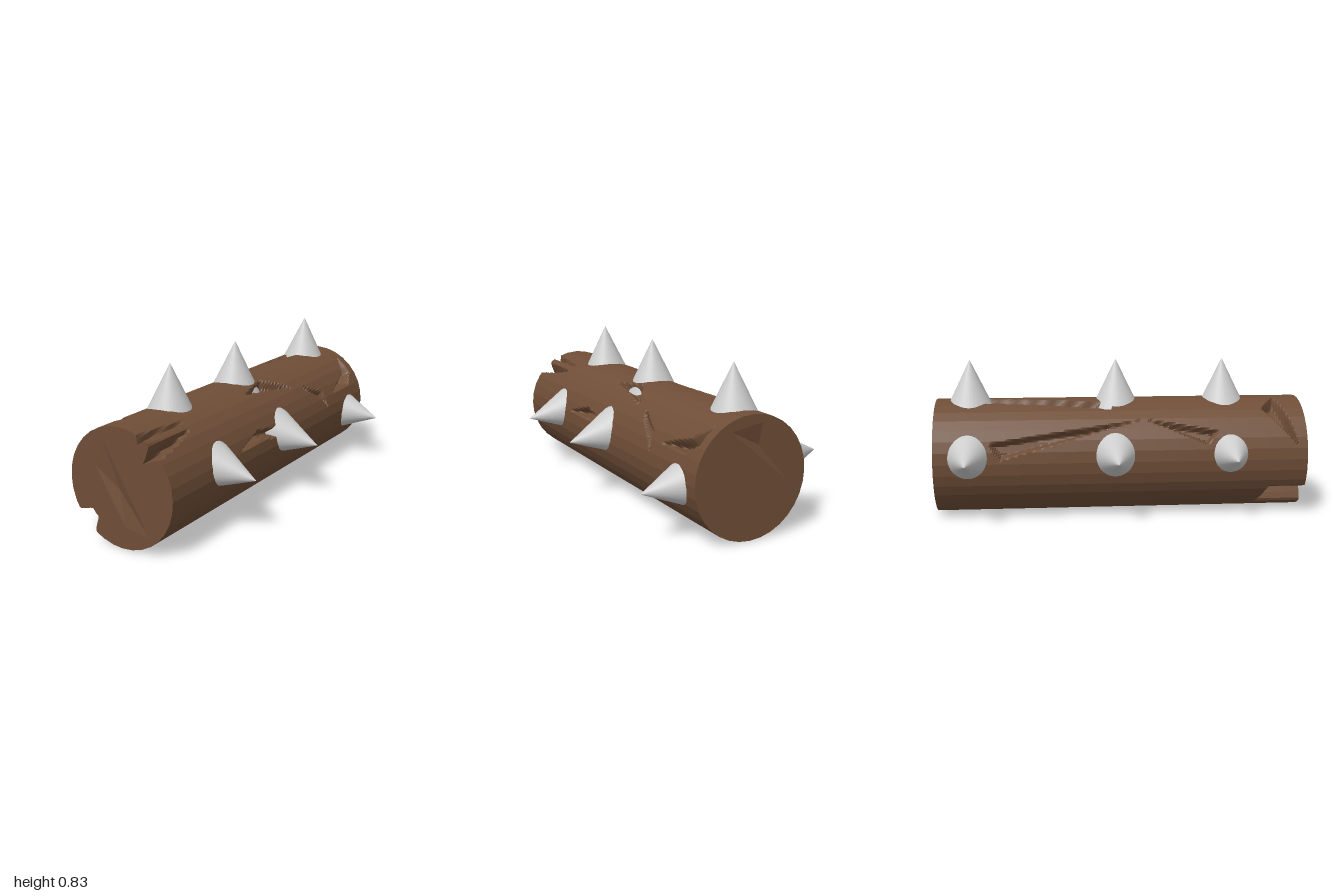
import * as THREE from 'three';

const R = 0.307, CX = 0.006, CY = 0.307, Z0 = -0.987, Z1 = 1;
const SIDES = 32, COLS = 160, ROWS = 220;

// Gouges in the bark: corners as [angle in degrees from +x, z], and how deep they go
const gouges = [
  { depth: 0.05, pts: [[11, 0.45], [24, 0.22], [17, 0], [0, -0.16], [4, -0.1], [13, 0.2]] },
  { depth: 0.05, pts: [[46, -0.36], [30, -0.53], [11, -0.55], [23, -0.5], [41, -0.37]] },
  { depth: 0.06, pts: [[23, -0.62], [39, -0.85], [59, -0.93], [36, -0.93], [24, -0.85]] },
  { depth: 0.05, pts: [[63, 0.12], [73, -0.1], [48, -0.27], [56, -0.1]] },
  { depth: 0.11, pts: [[53, 0.68], [56, 1.3], [28, 1.3], [45, 0.82]] },
  { depth: 0.04, pts: [[62, 0.62], [75, 1.3], [60, 1.3]] },
  { depth: 0.03, pts: [[106, -0.72], [93, -0.72], [108, -0.07], [121, -0.03]] },
  { depth: 0.06, pts: [[170, 0.96], [123, 0.77], [100, 0.86], [158, 0.94]] },
  { depth: 0.04, pts: [[160, -0.7], [135, 0.15], [176, -0.64]] },
  { depth: 0.04, pts: [[135, 0.12], [150, 0.52], [164, 0.46]] },
  { depth: 0.08, pts: [[211, 0.8], [237, 0.75], [237, 1.3], [211, 1.3]] },
];
for (const g of gouges) g.flat = g.pts.map(([a, z]) => [THREE.MathUtils.degToRad(a) * R, z]);

// Depth of a gouge: steep walls down to a level floor
function gougeDepth(g, u, z) {
  let inside = false, dist = Infinity;
  g.flat.forEach(([x1, y1], i) => {
    const [x2, y2] = g.flat[(i + 1) % g.flat.length];
    if ((y1 > z) !== (y2 > z) && u < x1 + (x2 - x1) * (z - y1) / (y2 - y1)) inside = !inside;
    const dx = x2 - x1, dy = y2 - y1;
    const t = THREE.MathUtils.clamp(((u - x1) * dx + (z - y1) * dy) / (dx * dx + dy * dy), 0, 1);
    dist = Math.min(dist, Math.hypot(u - x1 - t * dx, z - y1 - t * dy));
  });
  return inside ? Math.min(g.depth, dist * 2.5) : 0;
}

// Point on the faceted, gouged log surface
function barkPoint(a, z) {
  const step = 2 * Math.PI / SIDES;
  let r = R * Math.cos(step / 2) / Math.cos((a % step) - step / 2);
  let cut = 0;
  // angles just below zero are also reached by gouges that start near zero
  for (const g of gouges) cut = Math.max(cut, gougeDepth(g, a * R, z), gougeDepth(g, (a - 2 * Math.PI) * R, z));
  r -= cut;
  return [CX + r * Math.cos(a), CY + r * Math.sin(a), z];
}

function meshGeometry(positions, index) {
  const geo = new THREE.BufferGeometry();
  geo.setAttribute('position', new THREE.Float32BufferAttribute(positions, 3));
  if (index) geo.setIndex(index);
  geo.computeVertexNormals();
  return geo;
}

function barkGeometry() {
  const pos = [], index = [];
  for (let j = 0; j <= ROWS; j++) {
    const z = Z0 + (Z1 - Z0) * j / ROWS;
    for (let i = 0; i < COLS; i++) pos.push(...barkPoint(2 * Math.PI * i / COLS, z));
  }
  for (let j = 0; j < ROWS; j++) {
    for (let i = 0; i < COLS; i++) {
      const a = j * COLS + i, b = j * COLS + (i + 1) % COLS;
      index.push(a, b, a + COLS, b, b + COLS, a + COLS);
    }
  }
  return meshGeometry(pos, index);
}

// Sawn end: follows the rim of the bark, with one shallow pit cut in it
function endGeometry(z, dir, pit) {
  const rim = [];
  for (let i = 0; i < COLS; i++) {
    const [x, y] = barkPoint(2 * Math.PI * i / COLS, z);
    rim.push(new THREE.Vector2(x, y));
  }
  const hole = pit.map(([x, y]) => new THREE.Vector2(x, y));
  if (THREE.ShapeUtils.isClockWise(hole)) hole.reverse();
  const shape = new THREE.Shape(rim);
  shape.holes.push(new THREE.Path(hole));
  const flat = new THREE.ShapeGeometry(shape).toNonIndexed();
  const pos = [];
  const p = flat.attributes.position;
  for (let i = 0; i < p.count; i++) pos.push(p.getX(i), p.getY(i), z);
  // pit walls meet at one recessed point
  const mid = hole.reduce((s, v) => s.add(v), new THREE.Vector2()).divideScalar(hole.length);
  hole.forEach((v, i) => {
    const w = hole[(i + 1) % hole.length];
    pos.push(v.x, v.y, z, w.x, w.y, z, mid.x, mid.y, z - dir * 0.02);
  });
  const index = [];
  for (let i = 0; i < pos.length / 3; i += 3) index.push(i, dir > 0 ? i + 1 : i + 2, dir > 0 ? i + 2 : i + 1);
  return meshGeometry(pos, index);
}

export function createModel() {
  const model = new THREE.Group();
  model.name = 'spikedLog';
  const wood = new THREE.MeshStandardMaterial({ name: 'brown wood', color: 0x6f4e37, flatShading: true, side: THREE.DoubleSide });
  const metal = new THREE.MeshStandardMaterial({ name: 'pale grey metal', color: 0xcccccc });

  const add = (name, geo, mat) => {
    const mesh = new THREE.Mesh(geo, mat);
    mesh.name = name;
    model.add(mesh);
    return mesh;
  };

  // Log
  add('bark', barkGeometry(), wood);
  add('frontEnd', endGeometry(Z1, 1, [[-0.1, 0.55], [0.17, 0.095], [0.03, 0.115], [-0.145, 0.4]]), wood);
  add('backEnd', endGeometry(Z0, -1, [[0.12, 0.54], [-0.05, 0.57], [-0.2, 0.27]]), wood);

  // Spikes: tip first, then a point on the axis at the bark
  const height = 0.29;
  const cone = new THREE.ConeGeometry(0.142, height, 32);
  cone.translate(0, -height / 2, 0);
  const up = new THREE.Vector3(0, 1, 0);
  const spike = (name, tip, foot) => {
    const mesh = add(name, cone, metal);
    const t = new THREE.Vector3(...tip);
    mesh.position.copy(t);
    mesh.quaternion.setFromUnitVectors(up, t.clone().sub(new THREE.Vector3(...foot)).normalize());
  };
  for (const z of [0.58, -0.012, -0.805]) spike('topSpike', [-0.005, 0.828, z], [-0.009, 0.58, z]);
  for (const [x, y, z, footY] of [[0.497, 0.312, 0.578, 0.345], [0.506, 0.314, -0.033, 0.348], [0.499, 0.26, -0.818, 0.28]]) {
    spike('leftSpike', [x, y, z], [0.27, footY, z]);
  }
  for (const [x, z] of [[-0.485, 0.582], [-0.508, -0.035], [-0.506, -0.808]]) {
    spike('rightSpike', [x, 0.335, z], [-0.27, 0.336, z]);
  }
  return model;
}
